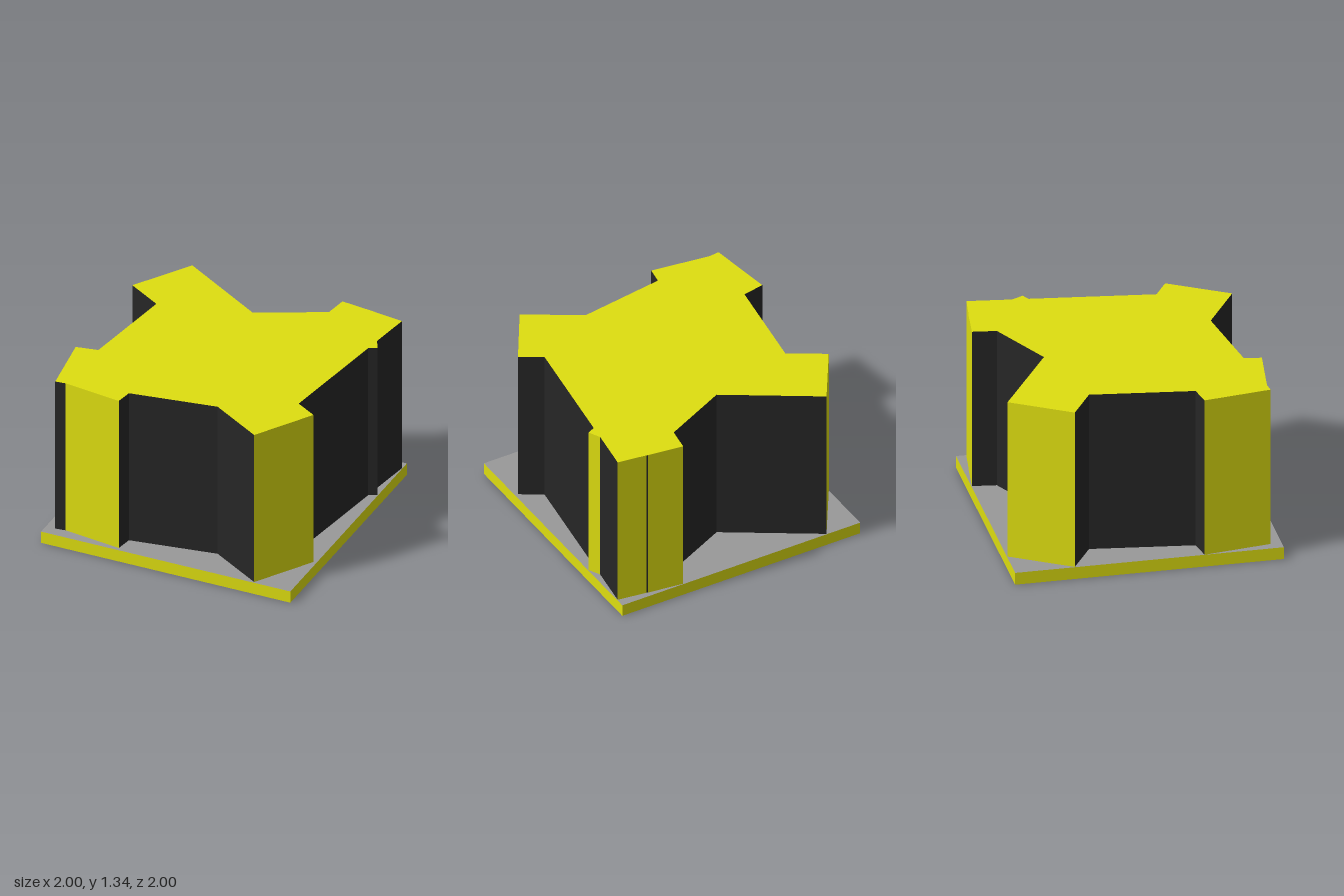
import * as THREE from 'three';

const BASE_TOP = 0.095;
const ROOF = 1.34;

// Footprint corners, clockwise from above: x, z, and whether the wall to the next corner is yellow (1) or black (0)
const OUTLINE = [
  [-0.72, -0.995, 0], [-0.04, -0.575, 0], [0.46, -0.815, 0],
  [0.485, -0.995, 1], [0.76, -0.96, 0], [0.772, -0.956, 1],
  [0.995, -0.925, 0], [0.95, -0.595, 1], [0.995, -0.505, 0],
  [0.935, -0.475, 0], [0.81, 0.45, 0], [0.975, 0.55, 1],
  [0.705, 0.99, 0], [0.295, 0.74, 0], [-0.37, 0.84, 0],
  [-0.39, 0.97, 1], [-0.845, 0.908, 0], [-0.925, 0.917, 1],
  [-0.998, 0.41, 0], [-0.83, 0.38, 0], [-0.725, -0.39, 0],
  [-0.995, -0.555, 1],
];

// All upright walls of one kind as a single flat-shaded geometry
function wallGeometry(kind) {
  const positions = [];
  OUTLINE.forEach(([ax, az, k], i) => {
    if (k !== kind) return;
    const [bx, bz] = OUTLINE[(i + 1) % OUTLINE.length];
    positions.push(
      ax, BASE_TOP, az, ax, ROOF, az, bx, ROOF, bz,
      ax, BASE_TOP, az, bx, ROOF, bz, bx, BASE_TOP, bz,
    );
  });
  const geometry = new THREE.BufferGeometry();
  geometry.setAttribute('position', new THREE.Float32BufferAttribute(positions, 3));
  geometry.computeVertexNormals();
  return geometry;
}

export function createModel() {
  const group = new THREE.Group();
  group.name = 'building';
  const material = (name, color) => {
    const m = new THREE.MeshStandardMaterial({ color });
    m.name = name;
    return m;
  };
  const yellow = material('yellow', 0xdede10);
  const black = material('black', 0x262626);
  const grey = material('grey', 0x999999);

  const add = (name, geometry, mat) => {
    const mesh = new THREE.Mesh(geometry, mat);
    mesh.name = name;
    group.add(mesh);
    return mesh;
  };

  // Square base slab with a grey upper face
  const slab = add('baseSlab', new THREE.BoxGeometry(2, BASE_TOP, 2),
    [yellow, yellow, grey, yellow, yellow, yellow]);
  slab.position.y = BASE_TOP / 2;

  // Walls: yellow ends on the wings, black in between
  add('wingEndWalls', wallGeometry(1), yellow);
  add('sideWalls', wallGeometry(0), black);

  // Flat roof over the whole footprint
  const shape = new THREE.Shape(OUTLINE.map(([x, z]) => new THREE.Vector2(x, -z)));
  const roof = add('roof', new THREE.ShapeGeometry(shape).rotateX(-Math.PI / 2), yellow);
  roof.position.y = ROOF;

  return group;
}
